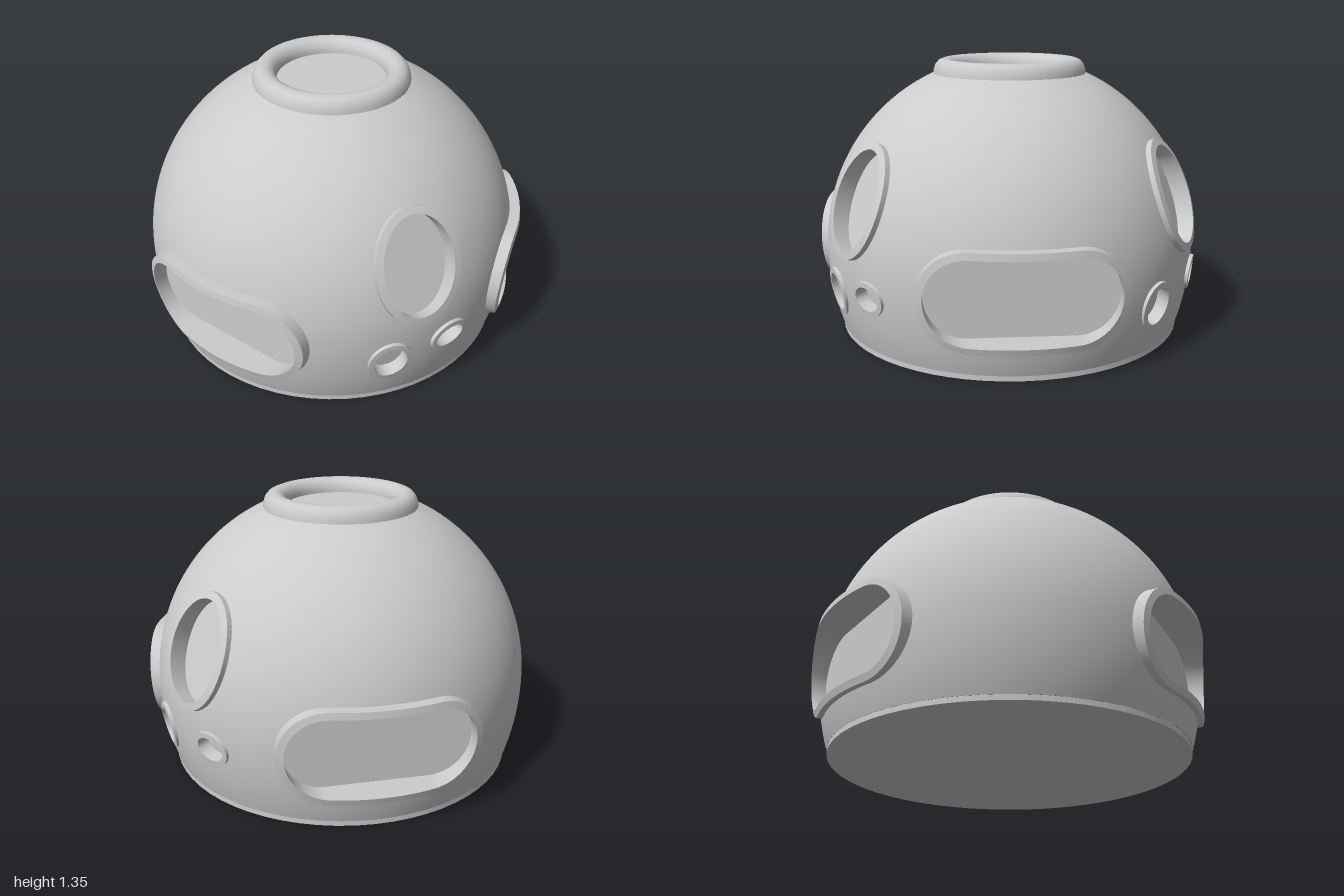
import * as THREE from 'three';

const CX = -0.015, CY = 0.42, R = 0.94; // dome centre and radius
const rad = THREE.MathUtils.degToRad;
const grey = new THREE.MeshStandardMaterial({ color: 0xcccccc });

// Openings: az = compass angle from +x towards +z, el = tilt up, s = half length of
// the straight run, a/b = end radii, rim = frame width, top = radius of the frame's
// outer face (its centre raised by lift), glass = pane distance from the dome centre
const bay = { name: 'bayWindow', el: 0, dy: -0.037, s: 0.2425, a: 0.2325, b: 0.2375, rim: 0.033, top: 0.985, lift: 0.03, glass: 0.8 };
const oval = { name: 'ovalWindow', el: 20, s: 0, a: 0.215, b: 0.28, rim: 0.036, top: 0.965, glass: 0.86 };
const big = { name: 'largePorthole', el: -9.5, s: 0, a: 0.108, b: 0.12, rim: 0.027, top: 0.957, glass: 0.89 };
const small = { name: 'smallPorthole', el: -6.4, s: 0, a: 0.105, b: 0.083, rim: 0.026, top: 0.957, glass: 0.89 };
const openings = [
  [bay, 0], [bay, 120], [bay, -120],
  [oval, 57.5], [oval, -59.5],
  [big, 66.7], [big, -43],
  [small, 47.7], [small, -68.8],
].map(([type, az]) => ({
  dy: 0, lift: 0, ...type,
  rotation: new THREE.Euler(-rad(type.el), rad(90 - az), 0, 'YXZ'),
}));

// Counter-clockwise outline: two half ellipses joined by straight runs
function outline(w, inset) {
  const pts = [], A = w.a - inset, B = w.b - inset, n = 24;
  for (const side of [1, -1]) {
    for (let i = 0; i < (w.s ? n + 1 : n); i++) {
      const t = -Math.PI / 2 + (Math.PI * i) / n;
      pts.push(new THREE.Vector2(side * (w.s + A * Math.cos(t)), side * B * Math.sin(t) + w.dy));
    }
    for (let i = 1; w.s && i < 12; i++) {
      pts.push(new THREE.Vector2(side * w.s * (1 - i / 6), side * B + w.dy));
    }
  }
  return pts;
}

// Frame: outer wall, curved face and inner wall, with sharp edges between them
function frameGeometry(w) {
  const outer = outline(w, 0), inner = outline(w, w.rim), n = outer.length;
  const base = p => [p.x, p.y, w.glass - 0.01];
  const face = p => [p.x, p.y, Math.sqrt(w.top ** 2 - p.x ** 2 - (p.y - w.lift) ** 2)];
  const strips = [
    [outer.map(base), outer.map(face)],
    [outer.map(face), inner.map(face)],
    [inner.map(face), inner.map(base)],
  ];
  const pos = [], index = [];
  for (const [p, q] of strips) {
    const o = pos.length / 3;
    pos.push(...p.flat(), ...q.flat());
    for (let i = 0; i < n; i++) {
      const j = (i + 1) % n;
      index.push(o + i, o + j, o + n + j, o + i, o + n + j, o + n + i);
    }
  }
  const g = new THREE.BufferGeometry();
  g.setAttribute('position', new THREE.Float32BufferAttribute(pos, 3));
  g.setIndex(index);
  g.computeVertexNormals();
  return g;
}

// Dome shell as a fine lathe, with the triangles inside each opening left out
function domeGeometry() {
  const profile = [], rows = 100, low = -0.395, high = 0.86;
  const a0 = Math.asin(low / R), a1 = Math.asin(high / R);
  for (let i = 0; i <= rows; i++) {
    const y = R * Math.sin(a0 + ((a1 - a0) * i) / rows);
    const k = y < 0 ? 0.86 : 1; // lower part tapers more gently
    profile.push(new THREE.Vector2(Math.sqrt(R * R - (k * y) ** 2), y));
  }
  const g = new THREE.LatheGeometry(profile, 384);
  const pos = g.attributes.position, v = new THREE.Vector3();
  const turns = openings.map(w => new THREE.Quaternion().setFromEuler(w.rotation).invert());
  const cut = [];
  for (let i = 0; i < pos.count; i++) {
    cut.push(openings.some((w, j) => {
      v.fromBufferAttribute(pos, i).applyQuaternion(turns[j]);
      const x = Math.max(Math.abs(v.x) - w.s, 0) / (w.a - w.rim);
      const y = (v.y - w.dy) / (w.b - w.rim);
      return v.z > 0 && x * x + y * y < 1;
    }));
  }
  const old = g.index.array, kept = [];
  for (let i = 0; i < old.length; i += 3) {
    const t = [old[i], old[i + 1], old[i + 2]];
    if (!t.some(k => cut[k])) kept.push(...t);
  }
  g.setIndex(kept);
  return g;
}

export function createModel() {
  const model = new THREE.Group();
  model.name = 'cupola';
  const add = (parent, name, geometry, y = 0) => {
    const mesh = new THREE.Mesh(geometry, grey);
    mesh.name = name;
    mesh.position.y = y;
    parent.add(mesh);
    return mesh;
  };
  const body = new THREE.Group();
  body.name = 'body';
  body.position.x = CX;
  model.add(body);

  // Shell and the short straight base with its closed floor
  add(body, 'domeShell', domeGeometry(), CY);
  add(body, 'baseRim', new THREE.CylinderGeometry(0.876, 0.876, 0.025, 64, 1, true), 0.0125);
  add(body, 'floor', new THREE.CircleGeometry(0.876, 64).rotateX(Math.PI / 2));

  // Round skylight in the flat top
  const ring = [[0.385, 1.27], [0.383, 1.295], [0.374, 1.322], [0.358, 1.341], [0.335, 1.35],
    [0.31, 1.349], [0.288, 1.338], [0.272, 1.318], [0.266, 1.295], [0.266, 1.275]];
  add(body, 'skylightRing', new THREE.LatheGeometry(ring.map(p => new THREE.Vector2(...p)), 64));
  add(body, 'skylightPane', new THREE.CircleGeometry(0.385, 64).rotateX(-Math.PI / 2), 1.28);

  // Side windows: raised frame with a flat recessed pane
  for (const w of openings) {
    const group = new THREE.Group();
    group.name = w.name;
    group.position.y = CY;
    group.rotation.copy(w.rotation);
    add(group, w.name + 'Frame', frameGeometry(w));
    const pane = new THREE.ShapeGeometry(new THREE.Shape(outline(w, w.rim * 0.9)));
    add(group, w.name + 'Pane', pane).position.z = w.glass;
    body.add(group);
  }
  return model;
}
